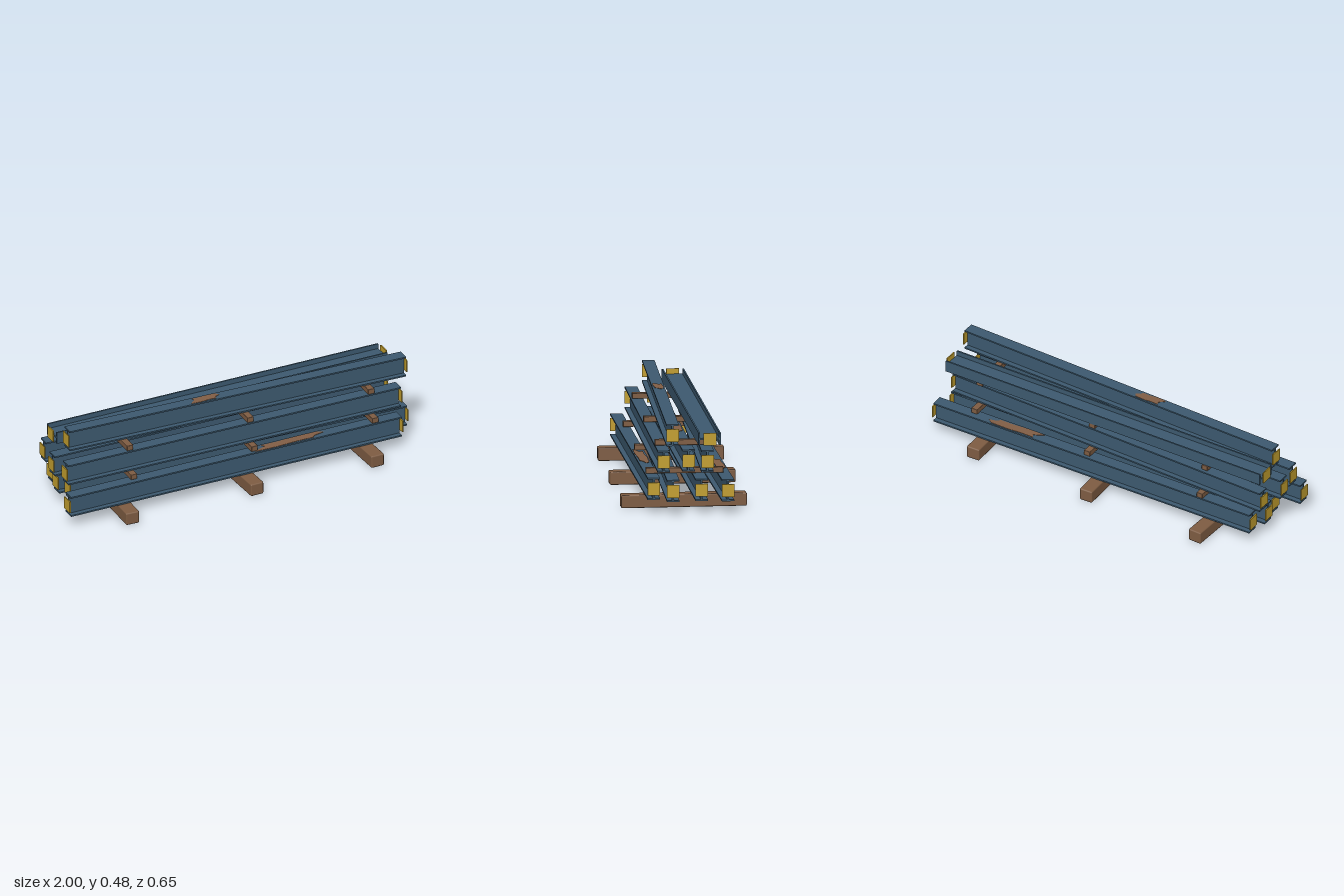
import * as THREE from 'three';
import { RoundedBoxGeometry } from 'three/addons/geometries/RoundedBoxGeometry.js';

const LENGTH = 1.92, HEIGHT = 0.114, FLANGE = 0.064, WEB = 0.01, THICK = 0.008;

const mat = (name, color) => {
  const m = new THREE.MeshStandardMaterial({ color });
  m.name = name;
  return m;
};

export function createModel() {
  const steel = mat('blue steel', 0x3d5a70);
  const yellow = mat('yellow end paint', 0xc4a02f);
  const wood = mat('timber', 0x7f5d43);
  const rust = mat('rust', 0x835f46);
  const root = new THREE.Group();
  root.name = 'beamStack';

  const add = (parent, name, geo, material, x = 0, y = 0, z = 0) => {
    const mesh = new THREE.Mesh(geo, material);
    mesh.name = name;
    mesh.position.set(x, y, z);
    parent.add(mesh);
    return mesh;
  };

  // I-section swept along x
  const h = HEIGHT / 2, f = FLANGE / 2, w = WEB / 2, k = h - THICK;
  const section = new THREE.Shape([
    [-f, -h], [f, -h], [f, -k], [w, -k], [w, k], [f, k],
    [f, h], [-f, h], [-f, k], [-w, k], [-w, -k], [-f, -k],
  ].map(([x, y]) => new THREE.Vector2(x, y)));
  const body = LENGTH - 0.018;
  const beamGeo = new THREE.ExtrudeGeometry(section, { depth: body, bevelEnabled: false });
  beamGeo.translate(0, 0, -body / 2).rotateY(Math.PI / 2);
  const plateGeo = new THREE.BoxGeometry(0.006, 0.066, 0.064);

  // Ragged flat rust patch, unit sized, lying on the xz plane
  const patchShape = new THREE.Shape([
    [-0.5, -0.45], [-0.2, -0.5], [0.1, -0.38], [0.32, -0.4], [0.36, -0.1], [0.5, 0.1],
    [0.42, 0.45], [0.1, 0.5], [-0.12, 0.4], [-0.36, 0.42], [-0.33, 0.05], [-0.42, -0.15],
  ].map(([x, y]) => new THREE.Vector2(x, y)));
  const patchGeo = new THREE.ExtrudeGeometry(patchShape, { depth: 0.002, bevelEnabled: false });
  patchGeo.rotateX(-Math.PI / 2);

  // One beam: right end x, z at both ends, centre height, optional rust span
  const beam = (name, xEnd, zMinus, zPlus, y, rustSpan, onSide) => {
    const g = new THREE.Group();
    g.name = name;
    const cx = xEnd - LENGTH / 2;
    g.position.set(cx, y, (zMinus + zPlus) / 2);
    g.rotation.y = -(zPlus - zMinus) / LENGTH;
    const roll = new THREE.Group();
    roll.name = 'beamBody';
    if (onSide) roll.rotation.x = Math.PI / 2;
    g.add(roll);
    add(roll, 'iSection', beamGeo, steel);
    for (const s of [-1, 1]) add(roll, 'endPlate', plateGeo, yellow, s * (LENGTH / 2 - 0.003));
    if (rustSpan) {
      const [a, b] = rustSpan;
      const p = add(g, 'rustPatch', patchGeo, rust, (a + b) / 2 - cx, h, 0);
      p.scale.set(b - a, 1, 0.054);
    }
    root.add(g);
  };

  // Bottom, middle and top layers
  const y1 = 0.129, y2 = 0.273, y3 = 0.419;
  beam('bottomBeam1', 0.92, 0.201, 0.17, y1, [0.07, 0.48]);
  beam('bottomBeam2', 0.997, 0.047, 0.077, y1);
  beam('bottomBeam3', 0.975, -0.05, -0.072, y1);
  beam('bottomBeam4', 0.997, -0.161, -0.206, y1, [0.35, 0.67]);
  beam('middleBeam1', 0.94, 0.128, 0.12, y2);
  beam('middleBeam2', 0.92, 0.011, -0.009, y2, [0.03, 0.37]);
  beam('middleBeam3', 0.945, -0.143, -0.104, y2);
  beam('topBeam', 0.99, 0.043, 0.08, y3, [-0.23, -0.06]);
  beam('lyingBeam', 0.965, -0.086, -0.114, 0.392, null, true);

  // Ground timbers and the spacers between layers
  const timber = (name, x, y, width, height, length, yaw) => {
    const geo = new RoundedBoxGeometry(width, height, length, 1, height * 0.1);
    add(root, name, geo, wood, x, y, 0).rotation.y = yaw;
  };
  timber('groundTimber', -0.674, 0.035, 0.074, 0.068, 0.65, -0.028);
  timber('groundTimber', 0.014, 0.035, 0.074, 0.068, 0.65, 0.042);
  timber('groundTimber', 0.703, 0.035, 0.074, 0.068, 0.65, 0.04);
  for (const x of [-0.615, 0.073, 0.762]) {
    timber('lowerSpacer', x, 0.2, 0.036, 0.029, 0.4, 0);
    timber('upperSpacer', x, 0.346, 0.036, 0.029, 0.306, 0);
  }
  return root;
}
